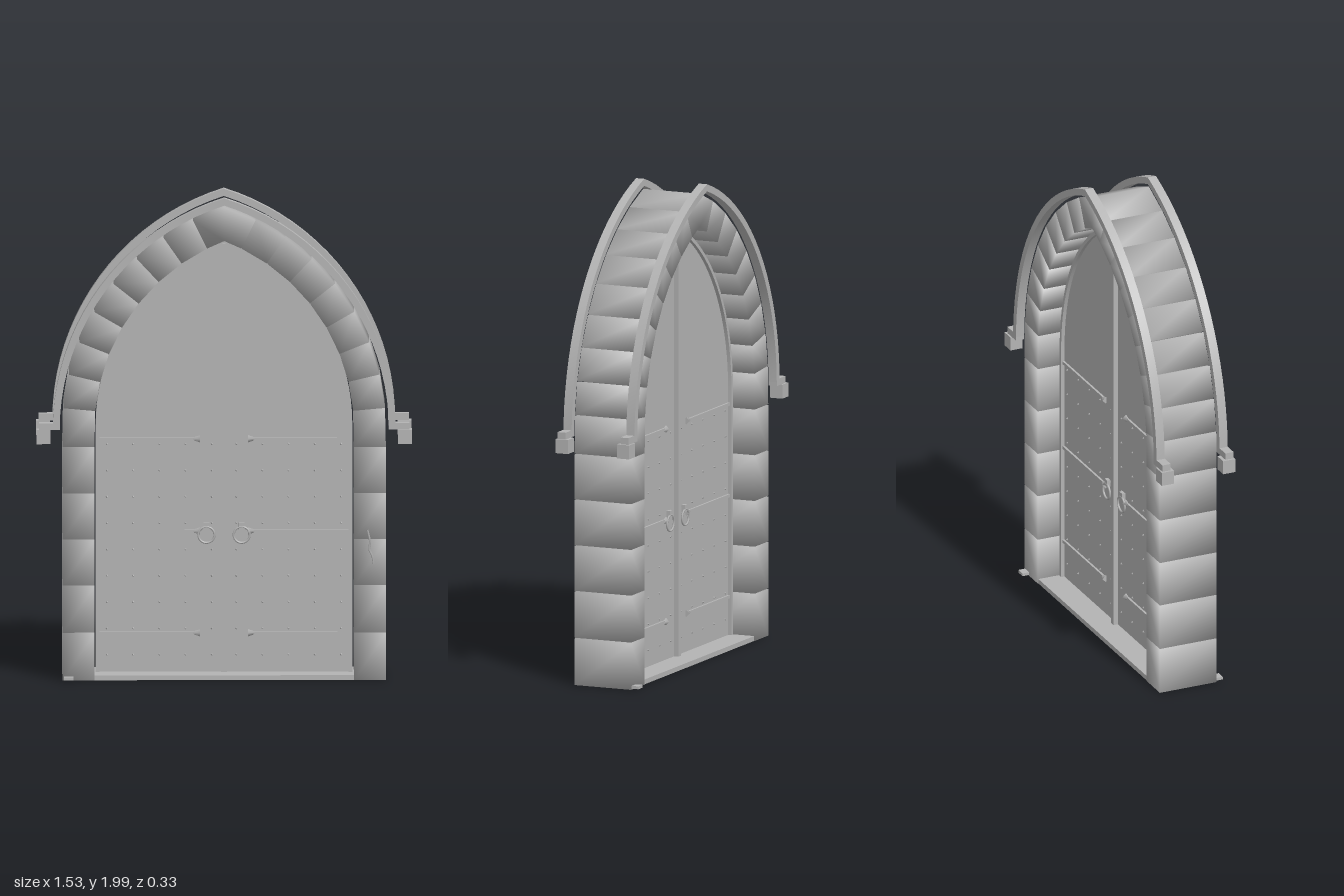
import * as THREE from 'three';
import { toCreasedNormals } from 'three/addons/utils/BufferGeometryUtils.js';

const D = 0.3;        // offset of each arc centre past the middle line
const SPRING = 1.037; // height of the arc centres
const V = (x, y) => new THREE.Vector2(x, y);

// right half of a pointed arch, from its foot up to the apex
function halfArch(r, foot, n = 20) {
  const pts = foot < SPRING ? [V(r - D, foot)] : [];
  const end = Math.asin(D / r), start = Math.PI / 2;
  for (let i = 0; i <= n; i++) {
    const a = start + (end - start) * i / n;
    pts.push(V(i === n ? 0 : r * Math.sin(a) - D, SPRING + r * Math.cos(a)));
  }
  return pts;
}

function fullArch(r, foot) {
  const half = halfArch(r, foot);
  return [...half, ...half.slice(0, -1).reverse().map(p => V(-p.x, p.y))];
}

function slab(points, z0, z1) {
  const g = new THREE.ExtrudeGeometry(new THREE.Shape(points), { depth: z1 - z0, bevelEnabled: false });
  g.translate(0, 0, z0);
  return toCreasedNormals(g, 0.4);
}

// prism with corners shared between faces, for soft pillow-like stones
function softPrism(points, z0, z1) {
  const n = points.length, pos = [], idx = [];
  for (const z of [z1, z0]) for (const p of points) pos.push(p.x, p.y, z);
  for (let i = 1; i < n - 1; i++) idx.push(0, i, i + 1, n, n + i + 1, n + i);
  for (let i = 0; i < n; i++) {
    const j = (i + 1) % n;
    idx.push(i, n + i, n + j, i, n + j, j);
  }
  const g = new THREE.BufferGeometry();
  g.setAttribute('position', new THREE.Float32BufferAttribute(pos, 3));
  g.setIndex(idx);
  g.computeVertexNormals();
  return g;
}

export function createModel() {
  const model = new THREE.Group();
  model.name = 'archedDoorway';
  const stone = new THREE.MeshStandardMaterial({ color: 0xb3b3b3 });
  stone.name = 'stoneGrey';

  const add = (name, geo, x = 0, y = 0, z = 0, parent = model) => {
    const m = new THREE.Mesh(geo, stone);
    m.name = name;
    m.position.set(x, y, z);
    parent.add(m);
    return m;
  };
  const box = (name, w, h, d, x, y, z, parent) => add(name, new THREE.BoxGeometry(w, h, d), x, y, z, parent);

  // stone surround: jamb blocks, arch stones and a keystone
  const rIn = 0.83, rOut = 0.96, gap = 0.0015, zBack = -0.125, zFront = 0.13;
  const at = (r, a) => V(r * Math.sin(a) - D, SPRING + r * Math.cos(a));
  const mirror = pts => pts.map(p => V(-p.x, p.y)).reverse();
  const addPair = (name, pts) => {
    add(name + 'Left', softPrism(pts, zBack, zFront));
    add(name + 'Right', softPrism(mirror(pts), zBack, zFront));
  };

  const joints = [0, 0.195, 0.39, 0.58, 0.77, 0.96];
  for (let i = 0; i < 5; i++) {
    const lo = joints[i] + (i ? gap : 0), hi = joints[i + 1] - gap;
    addPair('jambBlock' + (i + 1), [V(0.53, lo), V(0.66, lo), V(0.66, hi), V(0.53, hi)]);
  }

  const first = THREE.MathUtils.degToRad(85), step = THREE.MathUtils.degToRad(8.35);
  addPair('springerBlock', [V(0.53, 0.96 + gap), V(0.66, 0.96 + gap),
    at(rOut, first + gap), at(rIn, first + gap)]);
  for (let i = 0; i < 7; i++) {
    const a = first - i * step - gap, b = first - (i + 1) * step + gap;
    addPair('archStone' + (i + 1), [at(rIn, a), at(rOut, a), at(rOut, b), at(rIn, b)]);
  }
  const k = first - 7 * step - gap;
  const inner = at(rIn, k), outer = at(rOut, k);
  add('keystone', softPrism([V(0, 1.811), inner, outer, V(0, 1.949),
    V(-outer.x, outer.y), V(-inner.x, inner.y)], zBack, zFront));

  // hood mouldings on both faces, with stepped end stops
  const hoodShape = [...fullArch(1.0, SPRING), ...fullArch(0.972, SPRING).reverse()];
  for (const [side, z0, z1] of [['front', 0.125, 0.162], ['back', -0.158, -0.121]]) {
    const hood = new THREE.Group();
    hood.name = side + 'Hood';
    model.add(hood);
    add('hoodMoulding', slab(hoodShape, z0, z1), 0, 0, 0, hood);
    for (const s of [1, -1]) {
      box('hoodArm', 0.085, 0.028, z1 - z0, s * 0.714, 1.051, (z0 + z1) / 2, hood);
      box('hoodStop', 0.058, 0.058, 0.055, s * 0.738, 1.008, side === 'front' ? 0.138 : -0.138, hood);
    }
  }

  // threshold, door frame and centre post
  box('threshold', 1.06, 0.02, 0.25, 0, 0.01, 0.0025);
  add('doorFrame', slab([...fullArch(0.824, 0.02), ...fullArch(0.809, 0.02).reverse()], -0.03, 0.03));
  box('centrePost', 0.024, 1.765, 0.07, 0, 0.9025, 0);

  // door leaves with ironwork on both faces
  const leaf = [V(0, 0.02), ...halfArch(0.812, 0.02)];
  const face = 0.015;
  const studGeo = new THREE.ConeGeometry(0.006, 0.008, 4);
  studGeo.rotateX(Math.PI / 2);
  const ringGeo = new THREE.TorusGeometry(0.033, 0.0045, 6, 24);
  const tipGeo = new THREE.CylinderGeometry(0.004, 0.015, 0.035, 4);
  tipGeo.rotateZ(-Math.PI / 2);
  for (const s of [1, -1]) {
    const door = new THREE.Group();
    door.name = s > 0 ? 'leftDoorLeaf' : 'rightDoorLeaf';
    model.add(door);
    add('doorPanel', slab(s > 0 ? leaf : mirror(leaf), -face, face), 0, 0, 0, door);
    for (const f of [1, -1]) {
      for (const y of [0.98, 0.6, 0.18]) {
        box('strapHinge', 0.39, 0.013, 0.01, s * 0.315, y, f * (face + 0.004), door);
        const tip = add('strapTip', tipGeo, s * 0.115, y, f * (face + 0.004), door);
        if (s < 0) tip.rotation.z = Math.PI;
      }
      for (let r = 0; r < 9; r++) {
        for (let c = 0; c < 5; c++) {
          const stud = add('stud', studGeo, s * (0.05 + c * 0.107), 0.09 + r * 0.1085, f * (face + 0.003), door);
          if (f < 0) stud.rotation.y = Math.PI;
        }
      }
      box('ringMount', 0.024, 0.03, 0.016, s * 0.072, 0.622, f * (face + 0.007), door);
      add('ringHandle', ringGeo, s * 0.072, 0.585, f * (face + 0.012), door);
    }
  }

  // crack in the front of a jamb, and chips at the feet
  const crack = new THREE.CatmullRomCurve3([[0.585, 0.62], [0.595, 0.57], [0.592, 0.54], [0.605, 0.51], [0.61, 0.48]]
    .map(([x, y]) => new THREE.Vector3(x, y, 0.131)));
  add('crack', new THREE.TubeGeometry(crack, 12, 0.004, 4));
  box('footChip', 0.04, 0.012, 0.05, -0.635, 0.01, 0.135);
  box('footChip', 0.04, 0.012, 0.05, 0.635, 0.01, -0.13);

  return model;
}
